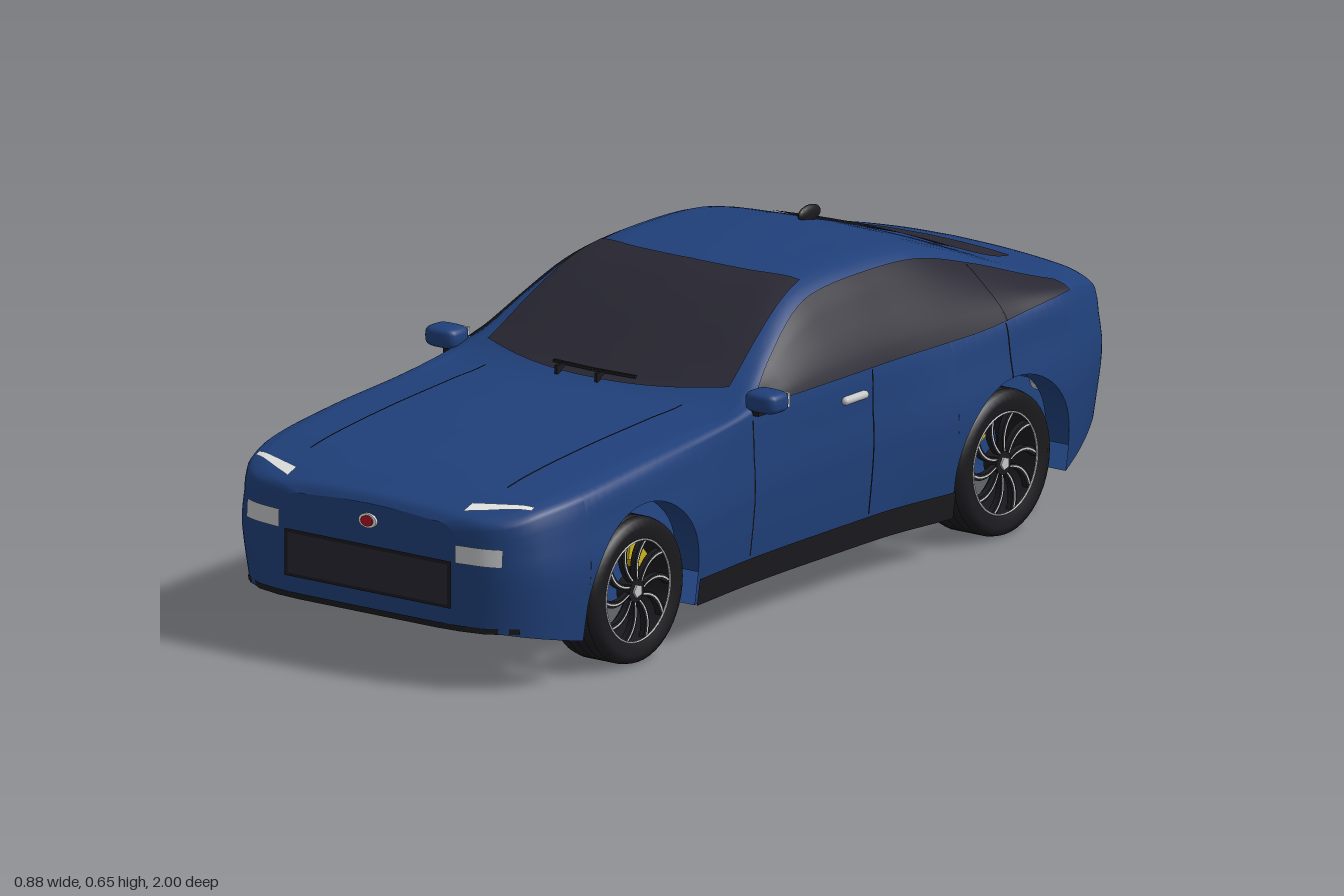
import * as THREE from 'three';

const paint = (name, color, side = THREE.DoubleSide) => new THREE.MeshStandardMaterial({ name, color, side });
const BLUE = paint('body blue', 0x20407a), GLASS = paint('dark glass', 0x282732), BLACK = paint('black trim', 0x1b1b1f);
const SILVER = paint('silver', 0xc4c6c8), GREY = paint('exhaust grey', 0x5c5e62), RED = paint('red', 0xb01226);
const YELLOW = paint('caliper yellow', 0xcdb51c), WHITE = paint('lamp white', 0xe4e6e6);

const lerp = THREE.MathUtils.lerp;
const AXLES = [0.612, -0.586], ARCH = 0.185, HUB = 0.15, TYRE = 0.15;
const NOSE = 0.992, TAIL = -0.98;

// Body stations: z, half width, shoulder x, shoulder y, roof edge x, roof edge y, centre y
const STATIONS = [
  [-0.98, 0.29, 0.28, 0.40, 0.20, 0.425, 0.435],
  [-0.96, 0.335, 0.32, 0.42, 0.23, 0.452, 0.463],
  [-0.90, 0.378, 0.352, 0.44, 0.24, 0.475, 0.488],
  [-0.79, 0.41, 0.385, 0.462, 0.25, 0.492, 0.506],
  [-0.60, 0.418, 0.39, 0.455, 0.255, 0.556, 0.574],
  [-0.42, 0.412, 0.386, 0.452, 0.26, 0.605, 0.625],
  [-0.23, 0.388, 0.38, 0.45, 0.26, 0.615, 0.633],
  [-0.08, 0.385, 0.38, 0.448, 0.26, 0.606, 0.624],
  [0, 0.385, 0.38, 0.446, 0.27, 0.583, 0.60],
  [0.10, 0.385, 0.38, 0.443, 0.29, 0.53, 0.548],
  [0.20, 0.387, 0.381, 0.435, 0.308, 0.468, 0.486],
  [0.27, 0.39, 0.382, 0.425, 0.32, 0.437, 0.447],
  [0.40, 0.40, 0.385, 0.41, 0.32, 0.429, 0.437],
  [0.60, 0.414, 0.392, 0.395, 0.32, 0.417, 0.426],
  [0.80, 0.407, 0.39, 0.375, 0.31, 0.398, 0.408],
  [0.90, 0.383, 0.366, 0.36, 0.29, 0.38, 0.39],
  [0.95, 0.345, 0.335, 0.345, 0.25, 0.366, 0.376],
  [0.98, 0.29, 0.28, 0.335, 0.20, 0.357, 0.366],
  [0.992, 0.22, 0.21, 0.325, 0.15, 0.343, 0.35]];

// Smooth interpolation of the stations
function stationAt(z) {
  const n = STATIONS.length;
  let i = 0;
  while (i < n - 2 && z > STATIONS[i + 1][0]) i++;
  const a = STATIONS[i], b = STATIONS[i + 1], p = STATIONS[Math.max(i - 1, 0)], q = STATIONS[Math.min(i + 2, n - 1)];
  const h = b[0] - a[0], t = THREE.MathUtils.clamp((z - a[0]) / h, 0, 1), t2 = t * t, t3 = t2 * t;
  return a.map((v, k) => (2 * t3 - 3 * t2 + 1) * v + (3 * t2 - 2 * t3) * b[k]
    + (t3 - 2 * t2 + t) * h * (b[k] - p[k]) / (b[0] - p[0]) + (t3 - t2) * h * (q[k] - v) / (q[0] - a[0])).slice(1);
}
const floorY = z => z > 0.76 ? lerp(0.08, 0.13, (z - 0.76) / 0.23) : z < -0.74 ? lerp(0.08, 0.2, (-0.74 - z) / 0.24) : 0.08;
const inArch = z => AXLES.some(c => Math.abs(z - c) < ARCH - 1e-4);
const lowY = z => AXLES.reduce((y, c) => Math.abs(z - c) < ARCH - 1e-4
  ? Math.max(y, HUB + Math.sqrt(ARCH ** 2 - (z - c) ** 2)) : y, floorY(z));

// Half cross-section from sill to roof centre
function section(z) {
  const [w, xb, yb, xr, yr, yc] = stationAt(z), yl = floorY(z);
  return new THREE.SplineCurve([[w - 0.02, yl], [w, lerp(yl, yb, 0.5)], [lerp(w, xb, 0.45), lerp(yl, yb, 0.8)], [xb, yb],
    [(xb + xr) / 2 + 0.008, (yb + yr) / 2 + 0.006], [xr, yr], [xr / 2, lerp(yr, yc, 0.75)], [0, yc]].map(p => new THREE.Vector2(...p)));
}
const samples = z => section(z).getPoints(56);
function xAt(z, y) {
  const p = samples(z);
  if (y <= p[0].y) return p[0].x;
  for (let j = 0; j < 56; j++) if (y <= p[j + 1].y) return lerp(p[j].x, p[j + 1].x, (y - p[j].y) / (p[j + 1].y - p[j].y));
  return 0;
}
function yAt(x, z) {
  const p = samples(z);
  for (let j = 56; j > 0; j--) if (x <= p[j - 1].x) return lerp(p[j].y, p[j - 1].y, (x - p[j].x) / (p[j - 1].x - p[j].x));
  return p[0].y;
}
function zAt(x, y, end) {
  if (xAt(end, y) >= x) return end;
  let a = end * 0.7, b = end;
  for (let i = 0; i < 22; i++) { const m = (a + b) / 2; if (xAt(m, y) > x) a = m; else b = m; }
  return a;
}

// Surface from a rule fn(u, v) -> [x, y, z]; it faces du x dv
function grid(nu, nv, fn) {
  const pos = [], idx = [];
  for (let j = 0; j <= nv; j++) for (let i = 0; i <= nu; i++) pos.push(...fn(i / nu, j / nv, i, j));
  for (let j = 0; j < nv; j++) for (let i = 0; i < nu; i++) {
    const a = j * (nu + 1) + i, d = a + nu + 1;
    idx.push(a, a + 1, d, a + 1, d + 1, d);
  }
  const g = new THREE.BufferGeometry();
  g.setAttribute('position', new THREE.Float32BufferAttribute(pos, 3));
  g.setIndex(idx);
  g.computeVertexNormals();
  return g;
}

export function createModel() {
  const car = new THREE.Group();
  car.name = 'coupe';
  const add = (name, geo, mat, x = 0, y = 0, z = 0, parent = car) => {
    const m = new THREE.Mesh(geo, mat);
    m.name = name; m.position.set(x, y, z); parent.add(m);
    return m;
  };
  // Thin plates laid on the sides, top and ends of the body
  const sidePlate = (name, mat, z0, z1, lo, hi, off = 0.005, nu = 2, nv = 8) => [1, -1].forEach(s =>
    add(name, grid(nu, nv, (u, v) => {
      const z = s > 0 ? lerp(z0, z1, u) : lerp(z1, z0, u), y = lerp(lo(z), hi(z), v);
      return [s * (xAt(z, y) + off), y, z];
    }), mat));
  const topPlate = (name, mat, nu, nv, fn, off = 0.005) => add(name, grid(nu, nv, (u, v) => {
    const [x, z] = fn(u, v);
    return [x, yAt(Math.abs(x), z) + off, z];
  }), mat);
  const endPlate = (name, mat, end, x0, x1, y0, y1, off = 0.004) => add(name, grid(12, 4, (u, v) => {
    const x = end > 0 ? lerp(x0, x1, u) : lerp(x1, x0, u), y = lerp(y0, y1, v);
    return [x, y, zAt(Math.abs(x), y, end) + Math.sign(end) * off];
  }), mat);

  // Body shell with open wheel arches
  let zs = [];
  for (let i = 0; i <= 80; i++) zs.push(lerp(TAIL, NOSE, 0.5 + 0.5 * Math.sin(Math.PI * (i / 80 - 0.5))));
  for (const c of AXLES) {
    zs.push(c - ARCH, c + ARCH);
    for (let i = 0; i <= 28; i++) zs.push(c + (ARCH - 0.0003) * Math.cos(Math.PI * i / 28));
  }
  zs = zs.sort((a, b) => a - b).filter((z, i, l) => !i || z - l[i - 1] > 1e-5);
  const half = z => {
    const low = lowY(z), yb = stationAt(z)[2], c = section(z), out = [];
    for (let j = 0; j < 10; j++) { const y = lerp(low, yb, j / 10); out.push([xAt(z, y), y]); }
    for (let j = 0; j <= 20; j++) { const p = c.getPoint(lerp(3 / 7, 1, j / 20)); out.push([p.x, p.y]); }
    return out;
  };
  const halves = zs.map(half);
  add('bodyShell', grid(60, zs.length - 1, (u, v, i, j) => {
    const [x, y] = halves[j][i <= 30 ? i : 60 - i];
    return [i <= 30 ? x : -x, y, zs[j]];
  }), BLUE);
  for (const [name, h, z, s] of [['noseFace', halves.at(-1), NOSE, 1], ['tailFace', halves[0], TAIL, -1]])
    add(name, grid(8, 30, (u, v, i, j) => [s * (2 * u - 1) * h[j][0], h[j][1], z]), BLUE);
  add('floor', grid(2, zs.length - 1, (u, v, i, j) => [(2 * u - 1) * (inArch(zs[j]) ? 0.25 : halves[j][0][0]), floorY(zs[j]), zs[j]]), BLUE);
  for (const c of AXLES) for (const s of [1, -1]) add('archLip', grid(28, 1, (u, v) => {
    const a = Math.PI * u, z = c + ARCH * Math.cos(a), y = HUB + ARCH * Math.sin(a);
    return [s * (xAt(z, y) - 0.06 * v), y, z];
  }), BLUE);

  // Glass
  const roofEdge = z => stationAt(z)[4] - 0.012;
  const belt = z => 0.444 + 0.02 * THREE.MathUtils.smoothstep(-z, 0.45, 0.8);
  sidePlate('sideWindow', GLASS, 0.225, -0.79, belt, z => Math.max(belt(z), roofEdge(z)), 0.006, 40, 8);
  topPlate('windscreen', GLASS, 24, 20, (u, v) => {
    const k = 2 * u - 1;
    return [k * lerp(0.302, 0.25, v), lerp(0.27 - 0.06 * k * k, -0.06 - 0.03 * k * k, v)];
  });
  topPlate('rearWindow', GLASS, 16, 14, (u, v) => {
    const k = 2 * u - 1;
    return [k * lerp(0.21, 0.2, v), lerp(-0.59 - 0.02 * (1 - k * k) - 0.005, -0.84, v)];
  });

  // Panel gaps, sills and handles
  const line = (z, y0, y1, off) => sidePlate('panelGap', BLACK, z - 0.002, z + 0.002, () => y0, () => y1, off);
  line(-0.15, 0.14, 0.44, 0.003);
  line(0.24, 0.14, 0.42, 0.002);
  line(-0.57, 0.335, 0.445, 0.003);
  line(-0.57, 0.45, 0.55, 0.009);
  sidePlate('sill', BLACK, 0.425, -0.4, () => 0.079, () => 0.135, 0.005, 24, 3);
  for (const s of [1, -1]) {
    topPlate('bonnetGap', BLACK, 1, 24, (u, v) => [s * 0.246 + (u - 0.5) * 0.004, lerp(0.29, 0.86, v)], 0.003);
    const h = add('doorHandle', new THREE.CapsuleGeometry(0.009, 0.06, 4, 10), SILVER, s * (xAt(-0.09, 0.395) + 0.005), 0.395, -0.09);
    h.rotation.x = Math.PI / 2;
  }

  // Nose: lamps, grille, lip and oval badge
  for (const s of [1, -1]) {
    topPlate('lightStrip', WHITE, 10, 3, (u, v) => [s * lerp(0.22, 0.345, u), lerp(0.955, 0.905, u) + (v - 0.5) * lerp(0.03, 0.012, u)]);
    endPlate('headlamp', SILVER, NOSE, s > 0 ? 0.22 : -0.32, s > 0 ? 0.32 : -0.22, 0.265, 0.302, 0.006);
  }
  endPlate('grilleFrame', BLACK, NOSE, -0.208, 0.208, 0.168, 0.265, 0.003);
  endPlate('grille', GLASS, NOSE, -0.2, 0.2, 0.175, 0.258, 0.005);
  endPlate('frontLip', BLACK, NOSE, -0.34, 0.34, 0.124, 0.136, 0.004);
  const oval = (mat, y, z, rx, ry, depth) => {
    const m = add('ovalBadge', new THREE.CylinderGeometry(1, 1, depth, 28), mat, 0, y, z);
    m.rotation.x = Math.PI / 2; m.scale.set(rx, 1, ry);
  };
  oval(WHITE, 0.315, NOSE, 0.022, 0.015, 0.01);
  oval(RED, 0.315, NOSE, 0.015, 0.011, 0.016);

  // Tail: lamps, panels, plate, exhausts and diffuser fins
  endPlate('rearPanel', BLACK, TAIL, -0.15, 0.15, 0.315, 0.395);
  endPlate('numberPlate', SILVER, TAIL, -0.062, 0.062, 0.28, 0.36, 0.007);
  endPlate('lowerPanel', BLACK, TAIL, -0.13, 0.13, 0.203, 0.262);
  oval(WHITE, 0.243, TAIL, 0.02, 0.014, 0.014);
  oval(RED, 0.243, TAIL, 0.014, 0.01, 0.018);
  for (const s of [1, -1]) {
    endPlate('tailLamp', RED, TAIL, s > 0 ? 0.055 : -0.225, s > 0 ? 0.225 : -0.055, 0.402, 0.415, 0.006);
    for (const x of [0.2, 0.255]) {
      const e = add('exhaust', new THREE.CylinderGeometry(0.016, 0.016, 0.07, 18, 1, true), GREY, s * x, 0.213, -0.96);
      e.rotation.x = Math.PI / 2;
      add('exhaustCore', new THREE.CircleGeometry(0.015, 18), BLACK, s * x, 0.213, -0.985);
    }
    for (const x of [0.05, 0.15]) {
      const f = add('diffuserFin', new THREE.BoxGeometry(0.006, 0.025, 0.09), BLACK, s * x, 0.125, -0.82);
      f.rotation.x = 0.46;
    }
  }

  // Mirrors, aerial and wipers
  for (const s of [1, -1]) {
    const shell = add('mirror', new THREE.SphereGeometry(1, 24, 16), BLUE, s * 0.401, 0.458, 0.215);
    const p = shell.geometry.attributes.position, sq = v => Math.sign(v) * Math.abs(v) ** 0.55;
    for (let i = 0; i < p.count; i++) p.setXYZ(i, 0.04 * sq(p.getX(i)), 0.022 * sq(p.getY(i)), 0.032 * sq(p.getZ(i)));
    shell.geometry.computeVertexNormals();
    add('mirrorGlass', new THREE.BoxGeometry(0.062, 0.03, 0.006), SILVER, s * 0.401, 0.458, 0.183);
    add('mirrorArm', new THREE.BoxGeometry(0.04, 0.014, 0.03), BLACK, s * 0.375, 0.435, 0.22);
    const w = add('wiper', new THREE.BoxGeometry(0.1, 0.006, 0.006), BLACK, s * 0.052 - 0.005, yAt(0.05, 0.25) + 0.009, 0.25);
    w.rotation.y = s * 0.05;
    add('wiperArm', new THREE.BoxGeometry(0.007, 0.018, 0.03), BLACK, s * 0.05 - 0.03, yAt(0.05, 0.26) + 0.005, 0.262);
  }
  add('aerial', new THREE.SphereGeometry(1, 16, 12), BLACK, 0, 0.632, -0.445).scale.set(0.009, 0.018, 0.036);

  // Wheels: grooved tyre, open rim with curved spokes, caliper behind
  const tyreProfile = [[0.104, -0.05], [0.13, -0.06], [0.146, -0.053]];
  for (const g of [-0.033, -0.011, 0.011, 0.033])
    tyreProfile.push([TYRE, g - 0.005], [0.143, g - 0.004], [0.143, g + 0.004], [TYRE, g + 0.005]);
  tyreProfile.push([0.146, 0.053], [0.13, 0.06], [0.104, 0.052]);
  const tyre = new THREE.LatheGeometry(tyreProfile.map(p => new THREE.Vector2(...p)), 48).rotateZ(-Math.PI / 2);
  const blade = (w0, w1) => {
    const s = new THREE.Shape();
    s.moveTo(0.018, -w0); s.quadraticCurveTo(0.065, 0.03 - w0, 0.105, -w1);
    s.lineTo(0.105, w1); s.quadraticCurveTo(0.065, 0.03 + w0, 0.018, w0);
    return s;
  };
  const spoke = new THREE.ExtrudeGeometry(blade(0.005, 0.009), { depth: 0.012, bevelEnabled: false, curveSegments: 8 }).rotateY(Math.PI / 2);
  const trim = new THREE.ShapeGeometry(blade(0.0015, 0.002), 8).rotateY(Math.PI / 2);
  for (const z of AXLES) for (const s of [1, -1]) {
    const wheel = new THREE.Group();
    wheel.name = 'wheel'; wheel.position.set(s * 0.33, HUB, z); wheel.rotation.y = s > 0 ? 0 : Math.PI;
    car.add(wheel);
    add('tyre', tyre, BLACK, 0, 0, 0, wheel);
    add('rimBarrel', new THREE.CylinderGeometry(0.105, 0.105, 0.1, 40, 1, true).rotateZ(Math.PI / 2), BLACK, 0, 0, 0, wheel);
    add('rimEdge', new THREE.TorusGeometry(0.104, 0.002, 6, 48).rotateY(Math.PI / 2), SILVER, 0.053, 0, 0, wheel);
    for (let i = 0; i < 10; i++) {
      const a = i * Math.PI / 5;
      add('spoke', spoke, BLACK, 0.036, 0, 0, wheel).rotation.x = a;
      add('spokeTrim', trim, SILVER, 0.0495, 0, 0, wheel).rotation.x = a;
    }
    add('hub', new THREE.CylinderGeometry(0.024, 0.028, 0.03, 24).rotateZ(-Math.PI / 2), BLACK, 0.035, 0, 0, wheel);
    add('hubCap', new THREE.CylinderGeometry(0.014, 0.014, 0.006, 5).rotateZ(-Math.PI / 2), SILVER, 0.051, 0, 0, wheel);
    // Caliper sits towards the middle of the car
    const c = new THREE.Shape(), dir = z > 0 ? Math.PI - 0.95 : 0.95;
    c.absarc(0, 0, 0.092, dir - 0.42, dir + 0.42, false);
    c.absarc(0, 0, 0.058, dir + 0.42, dir - 0.42, true);
    const caliper = new THREE.ExtrudeGeometry(c, { depth: 0.03, bevelEnabled: false }).rotateY(-Math.PI / 2);
    add('caliper', caliper, YELLOW, s * 0.33 + 0.015 + s * 0.005, HUB, z);
  }
  return car;
}
